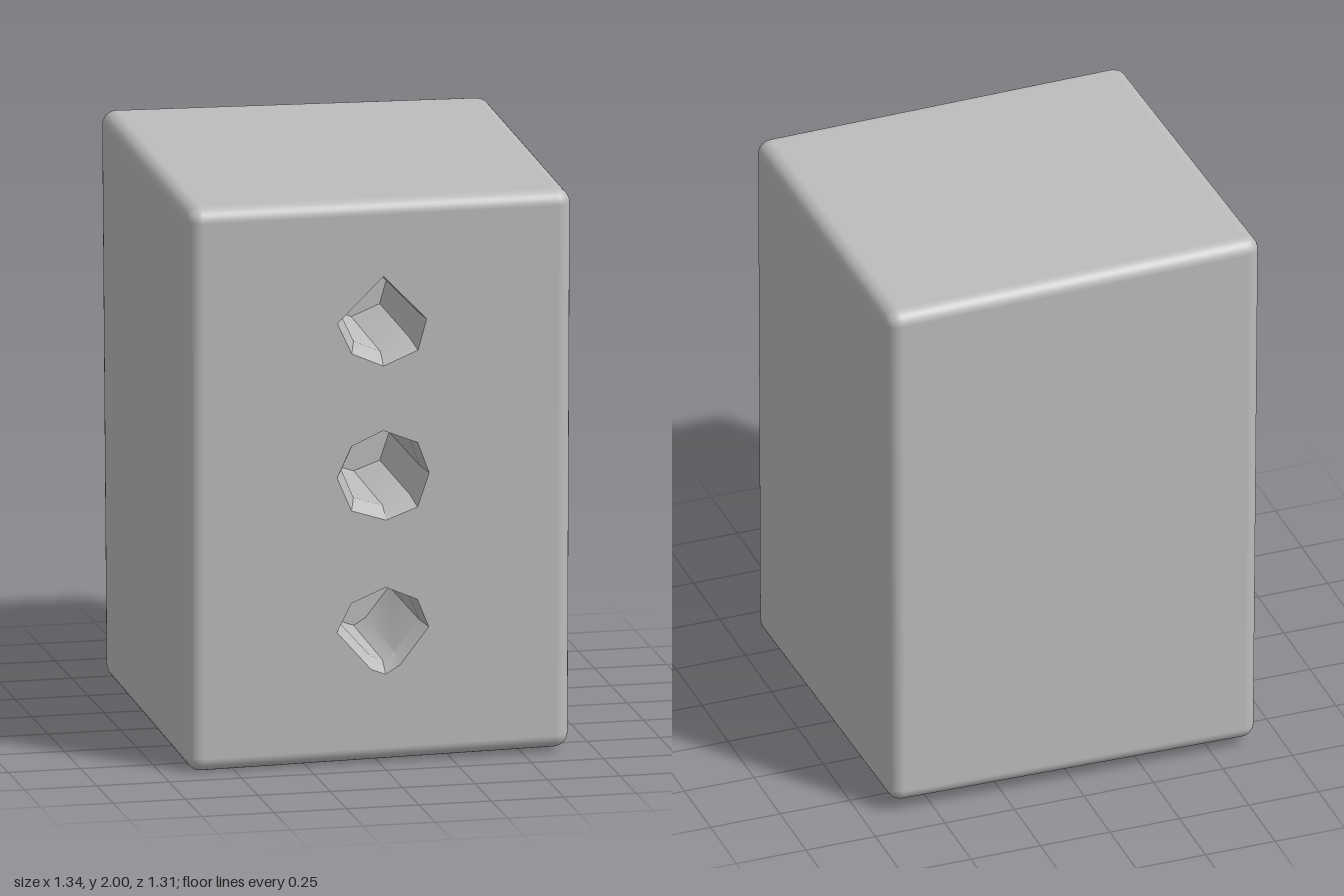
import * as THREE from 'three';
import { mergeGeometries, toCreasedNormals } from 'three/addons/utils/BufferGeometryUtils.js';
import { RoundedBoxGeometry } from 'three/addons/geometries/RoundedBoxGeometry.js';

const W = 1.33, H = 2, D = 1.31, RADIUS = 0.05, PIT_DEPTH = 0.5;

// Slightly skewed block corners: [bottom, top][back, front][left side -x, right side +x]
const CORNERS = [
  [[[-0.66, 0.03, -0.655], [0.655, 0.045, -0.65]], [[-0.66, 0, 0.655], [0.66, 0.015, 0.64]]],
  [[[-0.675, 2, -0.66], [0.665, 1.975, -0.655]], [[-0.66, 1.955, 0.655], [0.668, 1.95, 0.64]]],
].map(a => a.map(b => b.map(c => new THREE.Vector3(...c))));

// Maps the regular block (y from 0 to H) onto the skewed corners
function warp(geometry) {
  const pos = geometry.attributes.position;
  for (let i = 0; i < pos.count; i++) {
    const u = pos.getX(i) / W + 0.5, v = pos.getY(i) / H, w = pos.getZ(i) / D + 0.5;
    const p = new THREE.Vector3();
    for (let a = 0; a < 2; a++) for (let b = 0; b < 2; b++) for (let c = 0; c < 2; c++) {
      p.addScaledVector(CORNERS[a][b][c], (a ? v : 1 - v) * (b ? w : 1 - w) * (c ? u : 1 - u));
    }
    pos.setXYZ(i, p.x, p.y, p.z);
  }
  return geometry;
}

// Irregular hole outlines on the front, clockwise from the top
const HOLES = [
  [[0.01, 1.73], [0.16, 1.57], [0.13, 1.46], [0.01, 1.41], [-0.1, 1.46], [-0.15, 1.57]],
  [[0.01, 1.18], [0.13, 1.13], [0.17, 1.02], [0.13, 0.9], [0.02, 0.86], [-0.1, 0.9], [-0.15, 1.02], [-0.1, 1.13]],
  [[0.02, 0.62], [0.13, 0.57], [0.17, 0.47], [0.07, 0.34], [0.02, 0.31], [-0.03, 0.33], [-0.15, 0.47], [-0.1, 0.57]],
].map(h => h.map(p => new THREE.Vector2(...p)));

// Rounded block whose large front facet is replaced by a panel with holes
function blockGeometry() {
  const box = new RoundedBoxGeometry(W, H, D, 4, RADIUS).translate(0, H / 2, 0);
  const pos = box.attributes.position, nor = box.attributes.normal;
  const keptPos = [], keptNor = [], facet = new THREE.Box3();
  for (let i = 0; i < pos.count; i += 3) {
    const corners = [0, 1, 2].map(k => new THREE.Vector3().fromBufferAttribute(pos, i + k));
    const bounds = new THREE.Box3().setFromPoints(corners);
    const size = bounds.getSize(new THREE.Vector3());
    if (bounds.min.z > 0 && size.x > 0.5 && size.y > 0.5) {
      facet.union(bounds);
      continue;
    }
    corners.forEach((c, k) => {
      keptPos.push(c.x, c.y, c.z);
      keptNor.push(nor.getX(i + k), nor.getY(i + k), nor.getZ(i + k));
    });
  }
  const shell = new THREE.BufferGeometry();
  shell.setAttribute('position', new THREE.Float32BufferAttribute(keptPos, 3));
  shell.setAttribute('normal', new THREE.Float32BufferAttribute(keptNor, 3));

  const { min, max } = facet;
  const panelShape = new THREE.Shape([
    new THREE.Vector2(min.x, min.y), new THREE.Vector2(max.x, min.y),
    new THREE.Vector2(max.x, max.y), new THREE.Vector2(min.x, max.y),
  ]);
  panelShape.holes = HOLES.map(h => new THREE.Path(h));
  const panel = new THREE.ShapeGeometry(panelShape).toNonIndexed().translate(0, 0, max.z);
  panel.deleteAttribute('uv');
  return { geometry: warp(mergeGeometries([shell, panel])), frontZ: max.z };
}

// Blind hole: chamfered lip, straight walls and a floor
function pitGeometry(outline, frontZ) {
  const bounds = new THREE.Box2().setFromPoints(outline);
  const centre = bounds.getCenter(new THREE.Vector2());
  const ring = (scale, lift) => outline.map(p =>
    p.clone().sub(centre).multiplyScalar(scale).add(centre).add(new THREE.Vector2(0.004, lift)));
  const inner = ring(0.85, 0.012), floorRing = ring(0.82, 0.012);
  const rings = [[outline, frontZ], [inner, frontZ - 0.06], [floorRing, frontZ - PIT_DEPTH]];
  const verts = [];
  for (let r = 0; r < 2; r++) {
    const [near, nz] = rings[r], [far, fz] = rings[r + 1];
    for (let i = 0; i < near.length; i++) {
      const j = (i + 1) % near.length;
      const a = [near[i].x, near[i].y, nz], b = [near[j].x, near[j].y, nz];
      const c = [far[i].x, far[i].y, fz], d = [far[j].x, far[j].y, fz];
      verts.push(...a, ...c, ...b, ...b, ...c, ...d);
    }
  }
  const walls = new THREE.BufferGeometry();
  walls.setAttribute('position', new THREE.Float32BufferAttribute(verts, 3));
  walls.computeVertexNormals();
  const floor = new THREE.ShapeGeometry(new THREE.Shape(floorRing)).toNonIndexed();
  floor.translate(0, 0, frontZ - PIT_DEPTH).deleteAttribute('uv');
  return toCreasedNormals(warp(mergeGeometries([walls, floor])), 0.5);
}

export function createModel() {
  const group = new THREE.Group();
  group.name = 'blockWithHoles';
  const grey = new THREE.MeshStandardMaterial({ color: 0xbcbcbc });
  grey.name = 'grey';

  const { geometry, frontZ } = blockGeometry();
  const block = new THREE.Mesh(geometry, grey);
  block.name = 'block';
  group.add(block);

  HOLES.forEach((outline, i) => {
    const pit = new THREE.Mesh(pitGeometry(outline, frontZ), grey);
    pit.name = ['upperHole', 'middleHole', 'lowerHole'][i];
    group.add(pit);
  });
  return group;
}
